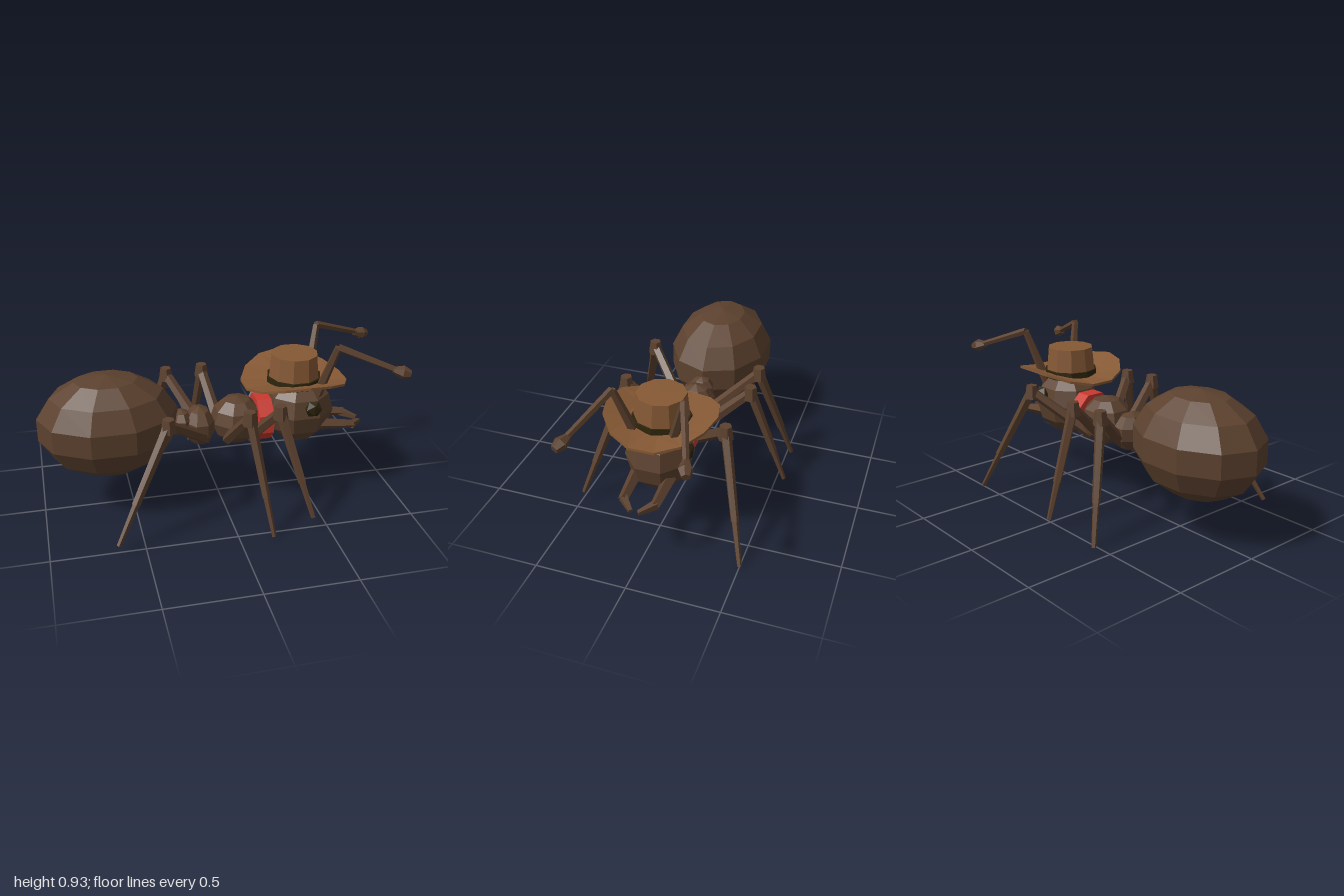
import * as THREE from 'three';

const flat = (name, color) => {
  const m = new THREE.MeshStandardMaterial({ color, flatShading: true });
  m.name = name;
  return m;
};

export function createModel() {
  const root = new THREE.Group();
  root.name = 'ant';
  const body = flat('body brown', 0x5c412e);
  const felt = flat('hat tan', 0x865935);
  const dark = flat('dark olive', 0x2d240c);
  const red = flat('neckerchief red', 0xc9392f);

  const add = (name, geometry, material, pos = [0, 0, 0], parent = root) => {
    const mesh = new THREE.Mesh(geometry, material);
    mesh.name = name;
    mesh.position.set(...pos);
    parent.add(mesh);
    return mesh;
  };

  // Faceted ellipsoid with its poles on the y axis
  const ball = (name, pos, radii, w, h, turn = 0) =>
    add(name, new THREE.SphereGeometry(1, w, h).rotateY(turn).scale(...radii), body, pos);

  // Tapered rod from point a to point b
  const rod = (name, a, b, ra, rb, parent, sides = 5) => {
    const p = new THREE.Vector3(...a), q = new THREE.Vector3(...b);
    const dir = q.clone().sub(p);
    const mesh = add(name, new THREE.CylinderGeometry(rb, ra, dir.length(), sides), body,
      p.clone().add(q).multiplyScalar(0.5).toArray(), parent);
    mesh.quaternion.setFromUnitVectors(new THREE.Vector3(0, 1, 0), dir.normalize());
    return mesh;
  };

  // Body segments from tail to head
  ball('abdomen', [-0.615, 0.515, 0], [0.395, 0.29, 0.3], 10, 7);
  ball('petiole', [-0.21, 0.475, 0], [0.065, 0.08, 0.08], 7, 5);
  ball('waist', [-0.108, 0.45, 0], [0.09, 0.115, 0.12], 8, 5, Math.PI / 8);
  ball('thorax', [0.11, 0.465, 0], [0.15, 0.14, 0.15], 8, 6, Math.PI / 8);
  ball('head', [0.475, 0.495, 0], [0.2, 0.195, 0.18], 8, 6, Math.PI / 8);

  // Neckerchief wrapped round the neck
  add('neckerchief', new THREE.CylinderGeometry(0.135, 0.135, 0.085, 8)
    .rotateY(Math.PI / 8).rotateZ(Math.PI / 2), red, [0.255, 0.465, 0]);

  // Legs: hip, knee and foot
  const legs = [
    ['backLeftLeg', [-0.08, 0.39, 0.06], [-0.335, 0.63, 0.33], [-0.645, 0.06, 0.52]],
    ['middleLeftLeg', [0.04, 0.38, 0.08], [0.097, 0.63, 0.34], [0.185, 0.012, 0.55]],
    ['frontLeftLeg', [0.17, 0.38, 0.08], [0.275, 0.63, 0.305], [0.425, 0.06, 0.49]],
    ['backRightLeg', [-0.08, 0.39, -0.06], [-0.235, 0.63, -0.335], [-0.4, 0.012, -0.525]],
    ['middleRightLeg', [0.03, 0.38, -0.08], [-0.02, 0.63, -0.345], [-0.062, 0.06, -0.555]],
    ['frontRightLeg', [0.15, 0.38, -0.08], [0.385, 0.63, -0.325], [0.672, 0.012, -0.5]],
  ];
  for (const [name, hip, knee, foot] of legs) {
    const leg = new THREE.Group();
    leg.name = name;
    root.add(leg);
    const mid = knee.map((k, i) => k + (foot[i] - k) * 0.66);
    rod('thigh', hip, knee, 0.034, 0.028, leg);
    add('knee', new THREE.CylinderGeometry(0.032, 0.044, 0.075, 6), body, knee, leg);
    rod('shin', knee, mid, 0.03, 0.023, leg);
    rod('foot', mid, foot, 0.019, 0.013, leg);
  }

  // Paired head parts
  for (const s of [1, -1]) {
    const side = s > 0 ? 'left' : 'right';
    const eye = add(side + 'Eye', new THREE.IcosahedronGeometry(0.052, 0), dark, [0.51, 0.555, s * 0.165]);
    eye.scale.z = 0.6;

    const antenna = new THREE.Group();
    antenna.name = side + 'Antenna';
    root.add(antenna);
    const elbow = [0.625, 0.92, s * 0.185], tip = [0.955, 0.795, s * 0.31];
    rod('antennaBase', [0.55, 0.6, s * 0.09], elbow, 0.03, 0.02, antenna);
    rod('antennaArm', elbow, tip, 0.021, 0.016, antenna);
    rod('antennaTip', [0.905, 0.808, s * 0.292], [0.955, 0.796, s * 0.307], 0.018, 0.037, antenna, 6);
    rod('antennaEnd', [0.955, 0.796, s * 0.307], [0.995, 0.785, s * 0.322], 0.037, 0.022, antenna, 6);

    const jaw = new THREE.Group();
    jaw.name = side + 'Mandible';
    root.add(jaw);
    rod('jawBase', [0.58, 0.42, s * 0.09], [0.785, 0.392, s * 0.085], 0.035, 0.026, jaw, 4);
    rod('jawTip', [0.77, 0.392, s * 0.09], [0.845, 0.378, s * 0.02], 0.027, 0.014, jaw, 4);
  }

  // Hat brim: a thin disc curled up at both sides
  const hat = new THREE.Group();
  hat.name = 'hat';
  hat.position.set(0.44, 0, 0);
  root.add(hat);
  const profile = [[0, -0.016], [0.17, -0.016], [0.3, -0.014], [0.3, 0], [0.17, 0], [0, 0]];
  const brim = new THREE.LatheGeometry(profile.map(p => new THREE.Vector2(...p)), 14);
  const pos = brim.attributes.position;
  for (let i = 0; i < pos.count; i++) {
    const z = pos.getZ(i) / 0.3;
    pos.setY(i, pos.getY(i) + 0.672 + 0.078 * z * z);
  }
  brim.computeVertexNormals();
  add('brim', brim, felt, [0, 0, 0], hat);
  const turn = Math.PI / 10;
  add('hatBand', new THREE.CylinderGeometry(0.155, 0.157, 0.045, 10).rotateY(turn), dark, [0, 0.683, 0], hat);
  add('crown', new THREE.CylinderGeometry(0.132, 0.148, 0.165, 10).rotateY(turn), felt, [0, 0.7525, 0], hat);

  return root;
}
